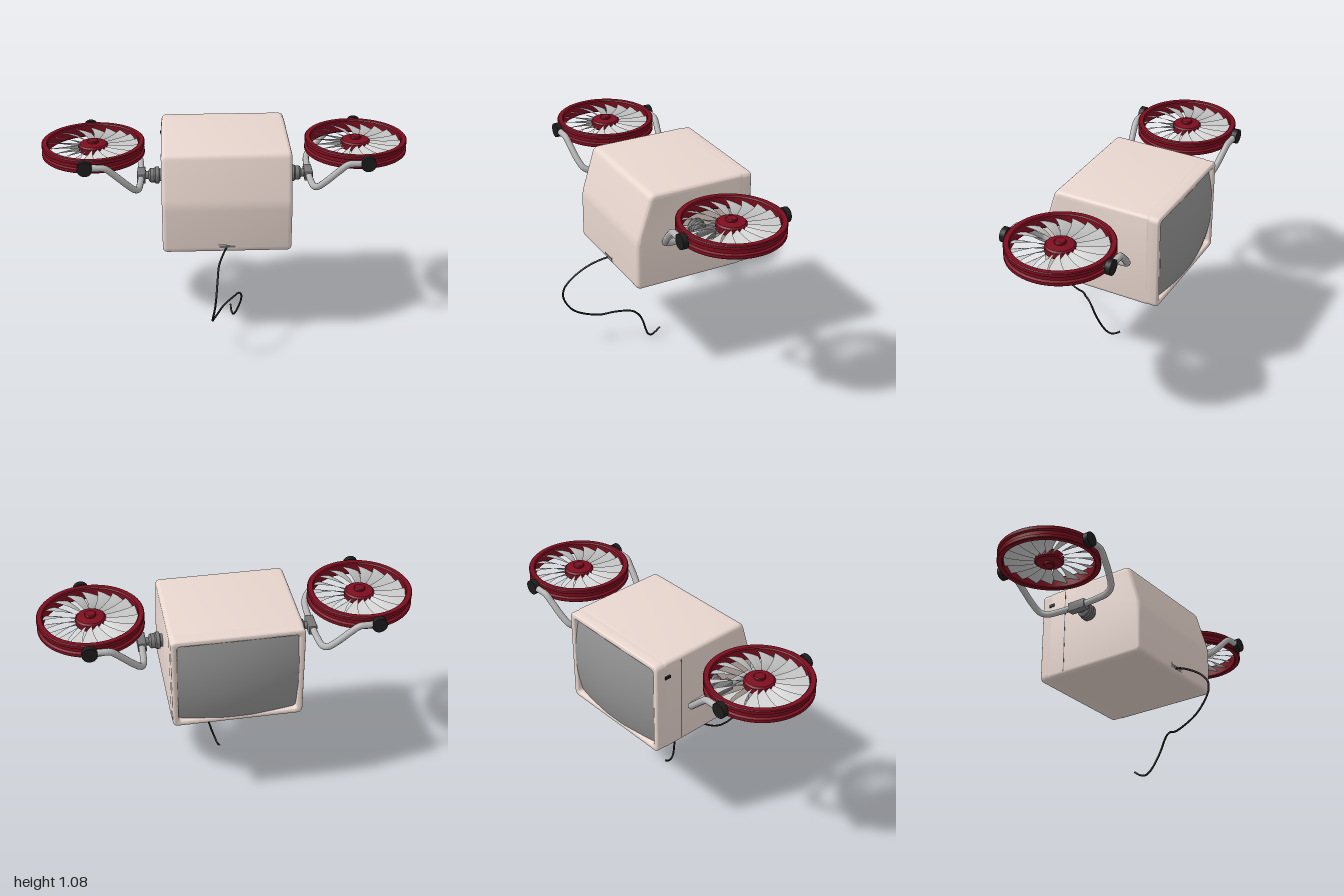
import * as THREE from 'three';
import { toCreasedNormals } from 'three/addons/utils/BufferGeometryUtils.js';

const mat = (color, side = THREE.FrontSide) => new THREE.MeshStandardMaterial({ color, side });
const shell = mat(0xe8d6ce), red = mat(0x7d0d1f), black = mat(0x1c1c1c), steel = mat(0xb4b4b4);
const dark = mat(0x777777), glass = mat(0x929292), bladeMat = mat(0xcccccc, THREE.DoubleSide);

function add(parent, name, geometry, material, x = 0, y = 0, z = 0) {
  const mesh = new THREE.Mesh(geometry, material);
  mesh.name = name;
  mesh.position.set(x, y, z);
  parent.add(mesh);
  return mesh;
}

// Polygon with its corners rounded
function roundedPoly(pts, r, Type = THREE.Shape) {
  const s = new Type();
  pts.forEach((p, i) => {
    const c = new THREE.Vector2(...p);
    const toward = (q) => new THREE.Vector2(...q).sub(c).setLength(r).add(c);
    const a = toward(pts[(i + pts.length - 1) % pts.length]);
    const b = toward(pts[(i + 1) % pts.length]);
    if (i) s.lineTo(a.x, a.y); else s.moveTo(a.x, a.y);
    s.quadraticCurveTo(c.x, c.y, b.x, b.y);
  });
  s.closePath();
  return s;
}

const rect = (w, y0, y1) => [[-w, y0], [w, y0], [w, y1], [-w, y1]];

// Extrusion with rounded edges, centred on its depth
function rounded(shape, depth, bevel) {
  const g = new THREE.ExtrudeGeometry(shape, {
    depth: depth - 2 * bevel, bevelSize: bevel, bevelThickness: bevel,
    bevelOffset: -bevel, bevelSegments: 5, curveSegments: 6,
  });
  g.translate(0, 0, bevel - depth / 2);
  return toCreasedNormals(g, 0.5);
}

function buildCabinet(root) {
  // Main housing: side profile in (z, y) swept across x
  const profile = roundedPoly([[-0.41, 0.54], [0.235, 0.54], [0.235, 0.82], [0.155, 1.086], [-0.41, 1.086]], 0.032);
  add(root, 'housing', rounded(profile, 0.7, 0.024), shell).rotation.y = -Math.PI / 2;
  root.children[0].geometry.scale(1, 1, 1);

  // Bezel around the screen
  const frame = roundedPoly(rect(0.349, 0.541, 1.085), 0.032);
  frame.holes.push(roundedPoly(rect(0.316, 0.572, 1.052), 0.02, THREE.Path));
  add(root, 'bezel', rounded(frame, 0.11, 0.012), shell, 0, 0, -0.396);

  // Bulging screen
  const screen = new THREE.PlaneGeometry(0.64, 0.49, 24, 20);
  const p = screen.attributes.position;
  for (let i = 0; i < p.count; i++) {
    p.setZ(i, -0.032 * ((p.getX(i) / 0.3) ** 2 + (p.getY(i) / 0.23) ** 2));
  }
  screen.computeVertexNormals();
  add(root, 'screen', screen, glass, 0, 0.812, -0.487).rotation.y = Math.PI;

  // Side seam, power button and cable socket
  add(root, 'sideSeam', new THREE.BoxGeometry(0.004, 0.5, 0.005), dark, -0.349, 0.813, -0.285);
  add(root, 'powerButton', new THREE.BoxGeometry(0.012, 0.016, 0.034), black, -0.351, 1.0, -0.38);
  add(root, 'socketRim', new THREE.BoxGeometry(0.1, 0.024, 0.006), shell, 0, 0.576, 0.234);
  add(root, 'socket', new THREE.BoxGeometry(0.086, 0.012, 0.008), dark, 0, 0.576, 0.234);
}

function buildCable(root) {
  const path = [
    [0, 0.572, 0.22], [-0.025, 0.55, 0.275], [-0.05, 0.515, 0.34], [-0.062, 0.46, 0.425], [-0.07, 0.4, 0.477],
    [-0.075, 0.355, 0.485], [-0.08, 0.315, 0.477], [-0.088, 0.243, 0.435], [-0.087, 0.205, 0.39],
    [-0.075, 0.174, 0.313], [-0.055, 0.17, 0.26], [-0.02, 0.19, 0.205], [0.045, 0.22, 0.15],
    [0.068, 0.219, 0.118], [0.083, 0.195, 0.09], [0.086, 0.153, 0.069], [0.068, 0.075, 0.04],
    [0.05, 0.024, 0.014], [0.042, 0.007, -0.01], [0.035, 0.014, -0.04], [0.032, 0.036, -0.07],
  ].map((q) => new THREE.Vector3(...q));
  add(root, 'cable', new THREE.TubeGeometry(new THREE.CatmullRomCurve3(path), 120, 0.0055, 8), black);
}

// One twisted fan blade lying along +x
function bladeGeometry() {
  const g = new THREE.PlaneGeometry(1, 1, 8, 5);
  const p = g.attributes.position;
  for (let i = 0; i < p.count; i++) {
    const u = p.getX(i) + 0.5, v = p.getY(i);
    const r = 0.065 + 0.19 * u;
    const a = v * 0.37 + 0.12 * u * u;
    p.setXYZ(i, r * Math.cos(a), 0.034 * v + 0.012 * (0.25 - v * v), -r * Math.sin(a));
  }
  g.computeVertexNormals();
  return g;
}

function buildFan(rig) {
  const fan = new THREE.Group();
  fan.name = 'fan';
  fan.position.set(0.72, 1.032, 0);
  rig.add(fan);

  // Grooved rim
  const rim = [
    [0.252, -0.037], [0.276, -0.037], [0.28, -0.033], [0.28, -0.016], [0.268, -0.01], [0.268, 0.01],
    [0.28, 0.016], [0.28, 0.033], [0.276, 0.037], [0.252, 0.037], [0.247, 0.031], [0.247, -0.031], [0.252, -0.037],
  ].map((q) => new THREE.Vector2(...q));
  add(fan, 'rim', toCreasedNormals(new THREE.LatheGeometry(rim, 64), 0.5), red);

  // Hub with a knob on both faces
  const hub = [
    [0, -0.043], [0.026, -0.043], [0.03, -0.039], [0.03, -0.03], [0.072, -0.024], [0.08, -0.016],
    [0.08, 0.016], [0.072, 0.024], [0.03, 0.03], [0.03, 0.039], [0.026, 0.043], [0, 0.043],
  ].map((q) => new THREE.Vector2(...q));
  add(fan, 'hub', toCreasedNormals(new THREE.LatheGeometry(hub, 32), 0.5), red);

  const blade = bladeGeometry(), count = 18;
  for (let i = 0; i < count; i++) {
    add(fan, 'blade', blade, bladeMat).rotation.y = (i / count) * Math.PI * 2;
  }
}

function buildRig(name) {
  const rig = new THREE.Group();
  rig.name = name;
  rig.position.z = -0.1;
  buildFan(rig);

  // Forked tube that carries the fan
  const half = [
    [0.75, 1.032, 0.292], [0.69, 1.032, 0.292], [0.645, 1.028, 0.29], [0.6, 0.99, 0.283],
    [0.535, 0.925, 0.268], [0.495, 0.885, 0.248], [0.476, 0.868, 0.21], [0.467, 0.861, 0.11],
  ];
  const path = [...half, [0.465, 0.859, 0], ...half.map(([x, y, z]) => [x, y, -z]).reverse()]
    .map((q) => new THREE.Vector3(...q));
  add(rig, 'fork', new THREE.TubeGeometry(new THREE.CatmullRomCurve3(path, false, 'centripetal'), 96, 0.018, 12), steel);

  // Clamps and pins at the rim
  for (const s of [1, -1]) {
    add(rig, 'clamp', new THREE.CylinderGeometry(0.041, 0.041, 0.03, 24), black, 0.75, 1.032, s * 0.296).rotation.x = Math.PI / 2;
    add(rig, 'pin', new THREE.CylinderGeometry(0.016, 0.016, 0.04, 12), dark, 0.75, 1.032, s * 0.27).rotation.x = Math.PI / 2;
  }

  // Stepped mount on the cabinet side and the collar gripping the fork
  const mount = [
    [0, 0.34], [0.035, 0.34], [0.035, 0.362], [0.046, 0.366], [0.046, 0.385], [0.04, 0.392],
    [0.04, 0.412], [0.034, 0.42], [0.022, 0.424], [0.022, 0.46], [0, 0.46],
  ].map((q) => new THREE.Vector2(...q));
  add(rig, 'mount', toCreasedNormals(new THREE.LatheGeometry(mount, 32), 0.5), dark, 0, 0.858, 0).rotation.z = -Math.PI / 2;
  const collar = roundedPoly(rect(0.056, -0.027, 0.027), 0.006);
  add(rig, 'collar', rounded(collar, 0.046, 0.005), dark, 0.463, 0.858, 0).rotation.y = Math.PI / 2;
  return rig;
}

export function createModel() {
  const root = new THREE.Group();
  root.name = 'flyingMonitor';
  buildCabinet(root);
  buildCable(root);

  // The rig is symmetric front to back, so a half turn gives the other side
  const right = buildRig('rightRotor');
  right.rotation.y = Math.PI;
  root.add(buildRig('leftRotor'), right);
  return root;
}
